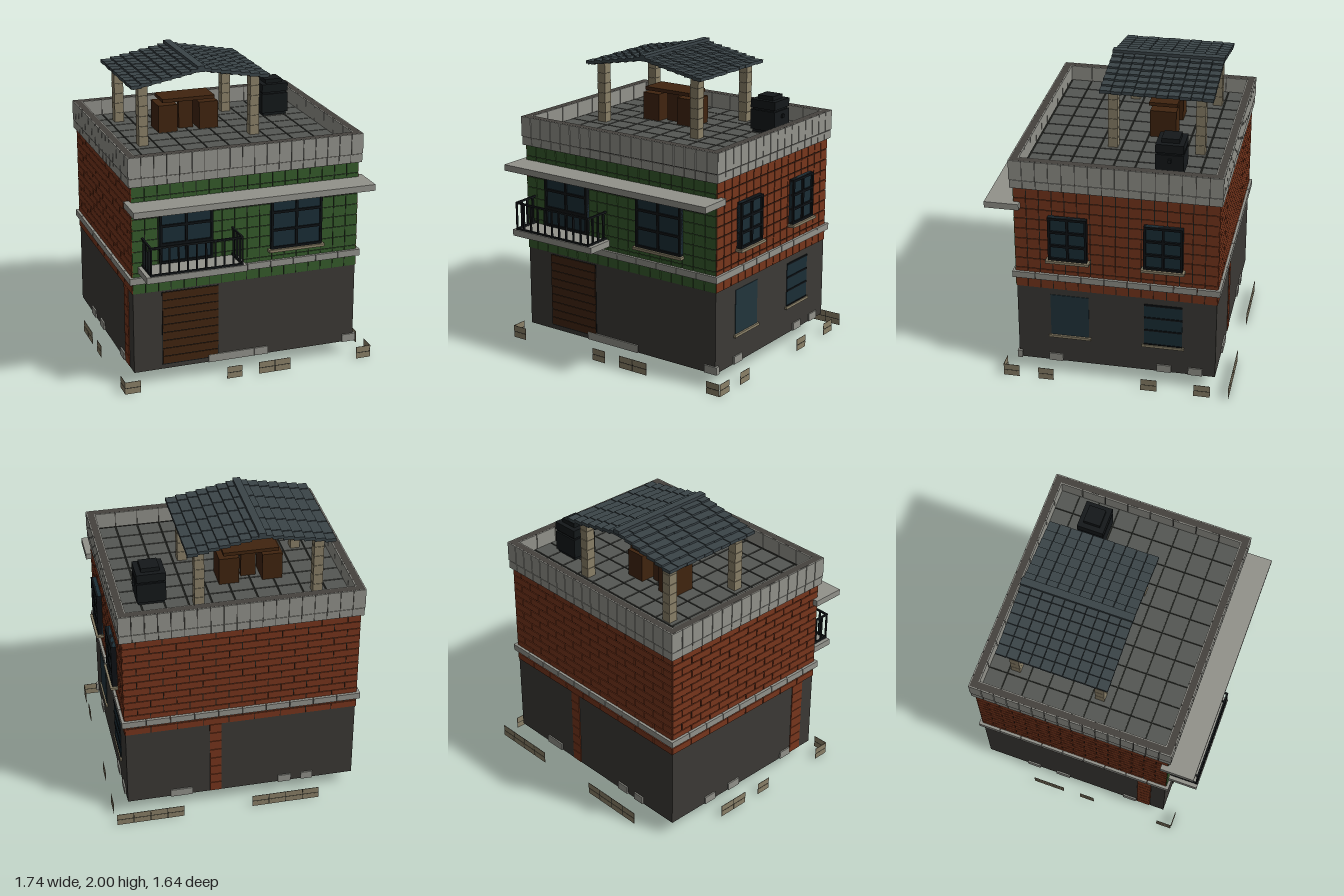
import * as THREE from 'three';
import { mergeGeometries } from 'three/addons/utils/BufferGeometryUtils.js';

const mats = {};
const mat = (c) => (mats[c] ??= new THREE.MeshStandardMaterial({ color: c, side: THREE.DoubleSide }));
const C = { green: 0x355a2b, red: 0x77351c, grout: 0x1f211d, ground: 0x3b3935, stone: 0x92928b, roof: 0x555753,
  rim: 0x45423e, beige: 0x8a8068, glass: 0x1a2d36, frame: 0x0d1114, wood: 0x40240f, slate: 0x3a4448, black: 0x14181a };

// box geometry from its minimum and maximum corners
function span(x0, x1, y0, y1, z0, z1) {
  return new THREE.BoxGeometry(x1 - x0, y1 - y0, z1 - z0).translate((x0 + x1) / 2, (y0 + y1) / 2, (z0 + z1) / 2);
}
function add(parent, name, color, geos) {
  const m = new THREE.Mesh(Array.isArray(geos) ? mergeGeometries(geos) : geos, mat(color));
  m.name = name;
  parent.add(m);
  return m;
}
// rows of tiles facing +z; bond shifts every second row by half a tile
function tiles(u0, u1, v0, v1, w, h, z0, z1, bond = false, gap = 0.007) {
  const out = [], rows = Math.max(1, Math.round((v1 - v0) / h)), cols = Math.max(1, Math.round((u1 - u0) / w));
  const dh = (v1 - v0) / rows, dw = (u1 - u0) / cols, g = gap / 2;
  for (let r = 0; r < rows; r++) {
    const shift = bond && r % 2 ? dw / 2 : 0;
    for (let c = shift ? -1 : 0; c < cols; c++) {
      const a = Math.max(u0, u0 + c * dw + shift), b = Math.min(u1, u0 + (c + 1) * dw + shift);
      if (b - a > gap) out.push(span(a + g, b - g, v0 + r * dh + g, v0 + (r + 1) * dh - g, z0, z1));
    }
  }
  return out;
}
// window facing +z: pane, bars and sill
function windowPart(parent, name, u0, u1, v0, v1, z, cols, rows, depth, sill = true) {
  const g = new THREE.Group();
  g.name = name;
  parent.add(g);
  const t = 0.016, f = [];
  add(g, 'glass', C.glass, span(u0, u1, v0, v1, z - 0.02, z + depth * 0.6));
  for (let i = 0; i <= cols; i++) {
    const u = u0 + t / 2 + (u1 - u0 - t) * i / cols;
    f.push(span(u - t / 2, u + t / 2, v0, v1, z, z + depth));
  }
  for (let i = 0; i <= rows; i++) {
    const v = v0 + t / 2 + (v1 - v0 - t) * i / rows;
    f.push(span(u0, u1, v - t / 2, v + t / 2, z, z + depth));
  }
  add(g, 'windowFrame', C.frame, f);
  if (sill) add(g, 'sill', C.beige, span(u0 - 0.015, u1 + 0.015, v0 - 0.018, v0, z - 0.01, z + depth + 0.015));
}

export function createModel() {
  const root = new THREE.Group();
  root.name = 'house';
  const X0 = -0.78, X1 = 0.77, Z0 = -0.715, Z1 = 0.612;

  // groups whose local +z faces out of each side of the house
  const side = (name, angle, x, z) => {
    const g = new THREE.Group();
    g.name = name;
    g.rotation.y = angle;
    g.position.set(x, 0, z);
    root.add(g);
    return g;
  };
  const front = side('frontSide', 0, 0, Z1), back = side('backSide', Math.PI, 0, Z0);
  const right = side('windowSide', Math.PI / 2, X1, 0), left = side('plainSide', -Math.PI / 2, X0, 0);
  const sides = [[front, X0, X1, C.green], [back, -X1, -X0, C.red], [right, -Z1, -Z0, C.red], [left, Z0, Z1, C.red]];

  // upper storey core, open ground floor below it
  add(root, 'upperCore', C.grout, span(X0, X1, 0.66, 1.42, Z0, Z1));
  for (const [g, a, b, color] of sides) {
    const plain = g === back || g === left;
    add(g, 'wallTiles', color, tiles(a - 0.004, b + 0.004, 0.66, 1.39, plain ? 0.17 : 0.086, plain ? 0.052 : 0.073, -0.01, 0.006, plain, 0.006));
    add(g, 'lowerBand', C.stone, tiles(a - 0.024, b + 0.024, 0.732, 0.78, 0.155, 0.05, -0.01, 0.024, false, 0.004));
    // parapet of two courses with a rim and inner lining
    add(g, 'parapetCore', C.rim, span(a - 0.018, b + 0.018, 1.39, 1.588, -0.027, 0.018));
    add(g, 'parapetLower', C.stone, tiles(a - 0.022, b + 0.022, 1.39, 1.45, 0.085, 0.06, 0, 0.022, true, 0.005));
    add(g, 'parapetUpper', C.stone, tiles(a - 0.025, b + 0.025, 1.45, 1.59, 0.085, 0.14, 0, 0.025, false, 0.005));
    add(g, 'parapetLining', C.stone, tiles(a + 0.02, b - 0.02, 1.48, 1.59, 0.155, 0.11, -0.034, -0.026, false, 0.005));
  }

  // ground floor panels with brick piers between them
  const panel = (g, a, b) => add(g, 'groundWall', C.ground, span(a, b, 0.105, 0.66, -0.02, 0));
  const pier = (g, a, b, color = C.red) => add(g, 'brickPier', color, tiles(a, b, 0.105, 0.66, b - a, 0.07, -0.024, 0.004, false, 0.004));
  panel(front, X0, X1);
  panel(right, -Z1, -Z0);
  panel(back, -X1, -0.21);
  panel(back, -0.13, -X0);
  pier(back, -0.21, -0.13);
  panel(left, Z0, 0.41);
  pier(left, 0.41, 0.51);
  panel(left, 0.51, Z1);
  add(front, 'innerPier', C.green, span(0.02, 0.1, 0.105, 0.66, -0.024, -0.019));
  add(left, 'innerPier', C.red, span(0.14, 0.22, 0.105, 0.66, -0.024, -0.019));

  // garage door of slats
  add(front, 'garageDoorCore', C.frame, span(-0.587, -0.2, 0.135, 0.65, -0.01, 0.003));
  add(front, 'garageDoorSlats', C.wood, tiles(-0.587, -0.2, 0.14, 0.65, 1, 0.057, 0, 0.008, false, 0.006));

  // windows
  windowPart(front, 'balconyDoor', -0.605, -0.245, 0.86, 1.245, 0.006, 2, 3, 0.03, false);
  windowPart(front, 'frontWindow', 0.155, 0.513, 0.86, 1.245, 0.006, 2, 3, 0.025);
  for (const [a, b] of [[-0.388, -0.132], [0.238, 0.492]]) {
    windowPart(right, 'upperWindow', a, b, 0.9, 1.21, 0.006, 2, 3, 0.036);
    const shut = a > 0;
    add(right, 'lowerWindow', shut ? C.glass : 0x21343c, span(a, b, 0.31, 0.615, -0.005, 0.004));
    if (shut) add(right, 'lowerWindowBars', C.frame, [0.31, 0.42, 0.515, 0.61].map((v) => span(a, b, v - 0.006, v + 0.006, 0, 0.008)));
    add(right, 'lowerSill', C.beige, span(a - 0.015, b + 0.015, 0.29, 0.308, -0.01, 0.014));
  }

  // canopy
  add(root, 'canopy', C.stone, span(-0.82, 0.815, 1.245, 1.287, 0.572, 0.8));

  // balcony with railing
  add(root, 'balconySlab', C.stone, span(-0.745, -0.075, 0.807, 0.85, 0.6, 0.816));
  const rail = [], bx0 = -0.72, bx1 = -0.1, bz = 0.812, t = 0.006;
  for (const y of [0.858, 1.04]) {
    rail.push(span(bx0, bx1, y - t, y + t, bz - 2 * t, bz));
    for (const x of [bx0, bx1 - 2 * t]) rail.push(span(x, x + 2 * t, y - t, y + t, Z1, bz));
  }
  for (let i = 0; i <= 10; i++) {
    const x = bx0 + t + (bx1 - bx0 - 2 * t) * i / 10;
    rail.push(span(x - t * 0.8, x + t * 0.8, 0.85, 1.04, bz - 2 * t, bz));
  }
  for (const x of [bx0, bx1 - 2 * t]) for (const z of [0.64, 0.695, 0.75]) rail.push(span(x, x + 2 * t, 0.85, 1.04, z, z + 2 * t));
  add(root, 'balconyRailing', C.black, rail);

  // tiled terrace
  add(root, 'terraceBase', C.grout, span(X0, X1, 1.4, 1.474, Z0, Z1));
  const floor = tiles(-0.755, 0.75, -0.575, 0.695, 0.15, 0.14, 0, 0.006, false, 0.009);
  add(root, 'terraceTiles', C.roof, floor.map((g) => g.rotateX(-Math.PI / 2).translate(0, 1.474, 0)));

  // pavilion: stone columns and a stepped tile roof
  for (const x of [-0.54, 0.237]) for (const z of [0.068, -0.51]) {
    const col = [];
    for (let i = 0; i < 6; i++) col.push(span(x - 0.032, x + 0.032, 1.478 + i * 0.069, 1.544 + i * 0.069, z - 0.032, z + 0.032));
    add(root, 'column', C.beige, col);
    add(root, 'columnCore', C.grout, span(x - 0.028, x + 0.028, 1.474, 1.9, z - 0.028, z + 0.028));
  }
  const rx = -0.154, roofTiles = [], cols = 7, w = 0.476 / cols;
  for (const s of [-1, 1]) for (let i = 0; i < cols; i++) {
    const y = 1.978 - i * 0.0125, a = rx + s * i * w, b = rx + s * (i + 1) * w + s * 0.002;
    for (let j = 0; j < 10; j++) {
      const z = -0.597 + j * 0.0747, lift = j % 2 ? 0.003 : 0;
      roofTiles.push(span(Math.min(a, b), Math.max(a, b), y - 0.022 + lift, y + lift, z, z + 0.0715));
    }
  }
  add(root, 'pavilionRoofTiles', C.slate, roofTiles);
  for (const s of [-1, 1]) {
    const u = add(root, 'pavilionRoofUnderside', C.grout, new THREE.BoxGeometry(0.47, 0.008, 0.735));
    u.position.set(rx + s * 0.235, 1.925, -0.224);
    u.rotation.z = -s * 0.18;
  }
  add(root, 'ridgeCap', C.slate, span(rx - 0.025, rx + 0.025, 1.972, 2, -0.602, 0.15));

  // low table on two box legs
  for (const [a, b] of [[-0.362, -0.228], [-0.073, 0.06]]) add(root, 'tableLeg', C.wood, span(a, b, 1.478, 1.668, -0.315, -0.14));
  add(root, 'tableTop', C.wood, span(-0.335, 0.033, 1.69, 1.714, -0.318, -0.128));
  add(root, 'tableSupport', C.wood, span(-0.2, -0.1, 1.478, 1.692, -0.24, -0.2));

  // water tank
  add(root, 'waterTank', C.black, [span(0.445, 0.615, 1.478, 1.65, -0.447, -0.287), span(0.435, 0.625, 1.5, 1.635, -0.458, -0.277),
    span(0.435, 0.625, 1.648, 1.705, -0.458, -0.277), span(0.47, 0.59, 1.705, 1.733, -0.425, -0.31), span(0.62, 0.64, 1.585, 1.61, -0.38, -0.36)]);

  // loose plinth stones at the foot of the walls
  const plinths = [[front, [[-0.27, -0.055], [-0.053, 0.05], [0.052, 0.15], [0.69, 0.787]]],
    [right, [[-0.405, -0.31], [0.325, 0.42], [0.535, 0.63]]],
    [back, [[-0.48, -0.33], [0.26, 0.35], [0.42, 0.5]]], [left, [[-0.42, -0.325], [-0.2, -0.1], [0.31, 0.405]]]];
  for (const [g, list] of plinths) add(g, 'plinthStone', C.stone, list.map(([a, b]) => span(a, b, 0.105, 0.158, -0.022, 0.01)));

  // thin brick edging around the plot
  const edging = [[0, 0, 0.70, [[-0.87, -0.76], [-0.17, -0.06], [0.055, 0.285], [0.76, 0.865]]],
    [Math.PI, 0, -0.818, [[-0.865, -0.405], [0.06, 0.525]]],
    [Math.PI / 2, 0.866, 0, [[-0.70, -0.59], [-0.465, -0.355], [0.23, 0.345], [0.585, 0.70]]],
    [-Math.PI / 2, -0.868, 0, [[-0.345, -0.115], [0.005, 0.115], [0.59, 0.70]]]];
  for (const [angle, x, z, list] of edging) {
    const g = side('brickEdging', angle, x, z);
    for (const [a, b] of list) {
      add(g, 'edgingBricks', C.beige, tiles(a, b, 0.003, 0.092, 0.115, 0.045, -0.001, 0.002, false, 0.005));
      add(g, 'edgingMortar', C.grout, span(a + 0.003, b - 0.003, 0.005, 0.09, -0.0005, 0.0005));
    }
  }
  return root;
}
